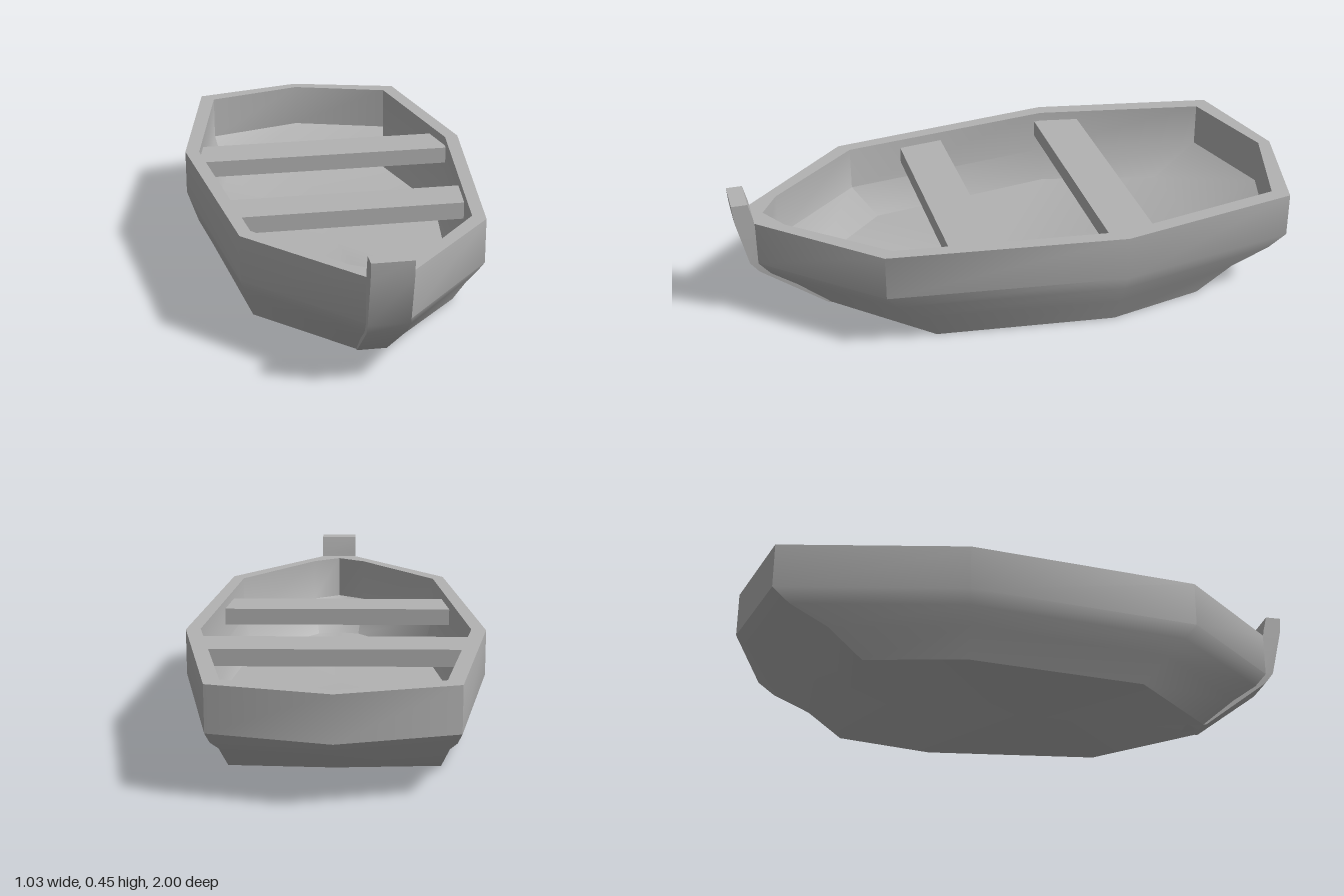
import * as THREE from 'three';
import { toCreasedNormals } from 'three/addons/utils/BufferGeometryUtils.js';

// Skin a stack of closed rings (counterclockwise from above) and cap both ends.
function loft(rings, crease) {
  const n = rings[0].length;
  const pos = [];
  const tri = (...pts) => pts.forEach((p) => pos.push(p.x, p.y, p.z));
  const middle = (ring) => ring.reduce((s, p) => s.add(p), new THREE.Vector3()).divideScalar(n);
  const first = rings[0];
  const last = rings[rings.length - 1];
  const c0 = middle(first);
  const c1 = middle(last);
  for (let j = 0; j < n; j++) {
    const k = (j + 1) % n;
    tri(c0, first[k], first[j]);
    for (let i = 0; i + 1 < rings.length; i++) {
      const a = rings[i];
      const b = rings[i + 1];
      tri(a[j], a[k], b[k]);
      tri(a[j], b[k], b[j]);
    }
    tri(c1, last[j], last[k]);
  }
  const geo = new THREE.BufferGeometry();
  geo.setAttribute('position', new THREE.Float32BufferAttribute(pos, 3));
  return toCreasedNormals(geo, crease);
}

// Mirror a half outline [x, z] running from bow centre to stern centre.
function hullRing(y, half) {
  const mirrored = half.slice(1, -1).reverse().map(([x, z]) => [-x, z]);
  return [...half, ...mirrored].map(([x, z]) => new THREE.Vector3(x, y, z));
}

// Four-cornered ring, with separate half widths at its front and back.
function boxRing(y, zFront, zBack, wFront, wBack = wFront) {
  return [[wFront, zFront], [wBack, zBack], [-wBack, zBack], [-wFront, zFront]]
    .map(([x, z]) => new THREE.Vector3(x, y, z));
}

export function createModel() {
  const boat = new THREE.Group();
  boat.name = 'rowingBoat';
  const grey = new THREE.MeshStandardMaterial({ color: 0xb2b2b2 });
  grey.name = 'paintedGrey';
  const add = (name, geometry) => {
    const mesh = new THREE.Mesh(geometry, grey);
    mesh.name = name;
    boat.add(mesh);
  };

  // Hull: up the outside, over the rim, down the inside to the floor
  const outer = [[0, 0.93], [0.065, 0.93], [0.41, 0.55], [0.515, -0.26], [0.395, -0.9], [0, -1]];
  const inner = [[0, 0.89], [0.1, 0.83], [0.37, 0.515], [0.465, -0.25], [0.35, -0.85], [0, -0.955]];
  add('hull', loft([
    hullRing(0, [[0, 0.68], [0.05, 0.68], [0.35, 0.37], [0.425, -0.25], [0.35, -0.59], [0, -0.61]]),
    hullRing(0.1, [[0, 0.8], [0.055, 0.8], [0.375, 0.45], [0.475, -0.25], [0.37, -0.71], [0, -0.74]]),
    hullRing(0.165, [[0, 0.89], [0.06, 0.89], [0.395, 0.51], [0.498, -0.255], [0.385, -0.84], [0, -0.94]]),
    hullRing(0.215, outer),
    hullRing(0.373, outer),
    hullRing(0.373, inner),
    hullRing(0.215, inner),
    hullRing(0.1, [[0, 0.72], [0.08, 0.7], [0.33, 0.43], [0.43, -0.25], [0.32, -0.68], [0, -0.7]]),
  ], THREE.MathUtils.degToRad(45)));

  // Stem post curving up the bow
  add('stemPost', loft([
    boxRing(0, 0.69, 0.62, 0.05),
    boxRing(0.18, 0.925, 0.87, 0.065),
    boxRing(0.22, 0.955, 0.91, 0.068),
    boxRing(0.39, 0.995, 0.93, 0.068),
    boxRing(0.45, 1, 0.945, 0.068),
  ], THREE.MathUtils.degToRad(40)));

  // Bench seats let into the side walls
  const seats = [
    ['frontSeat', 0.32, 0.16, 0.405, 0.425],
    ['rearSeat', -0.225, -0.39, 0.47, 0.45],
  ];
  for (const [name, zFront, zBack, wFront, wBack] of seats) {
    add(name, loft([0.28, 0.34].map((y) => boxRing(y, zFront, zBack, wFront, wBack)), 0.5));
  }
  return boat;
}
